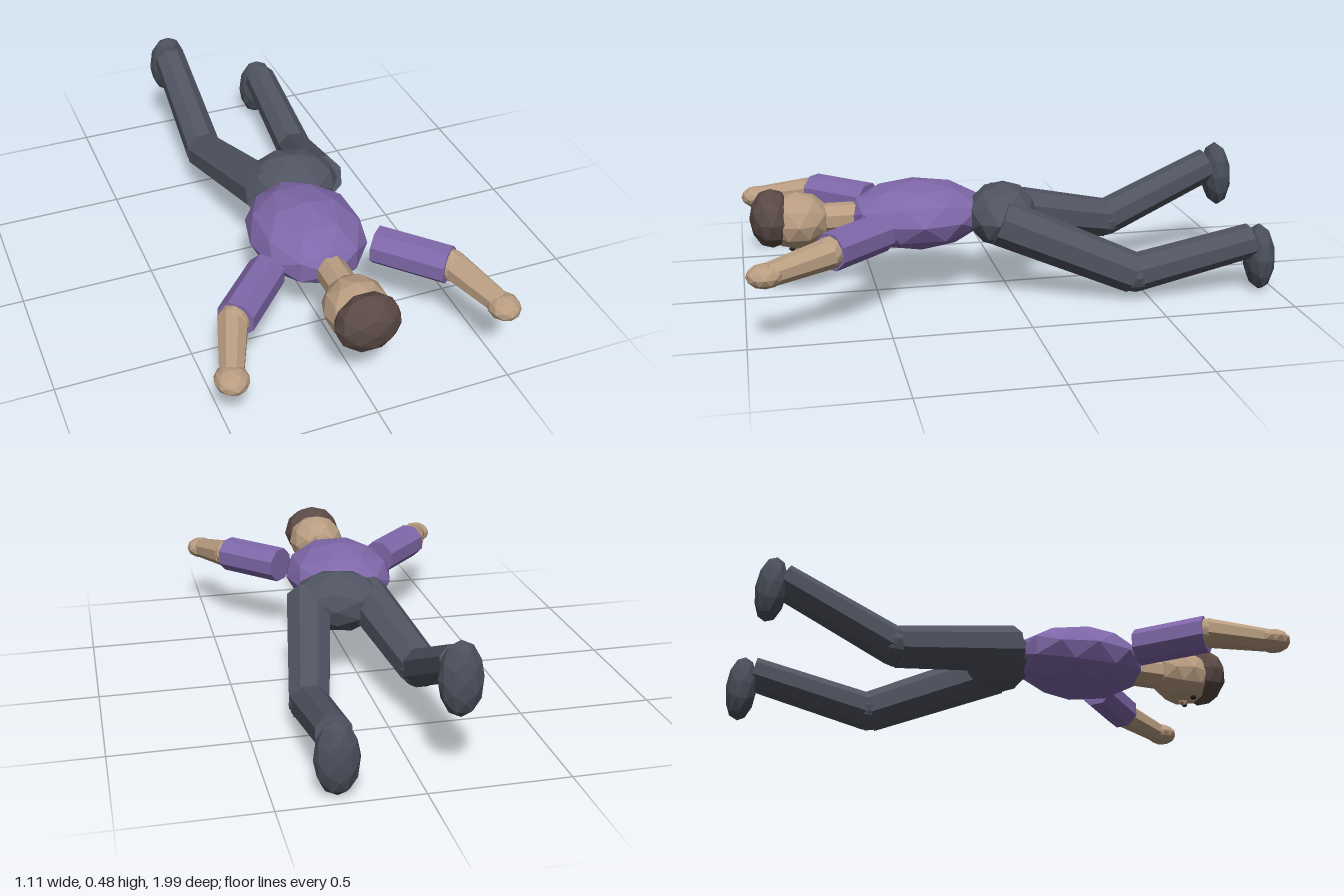
import * as THREE from 'three';

const mat = (name, color) => {
  const m = new THREE.MeshStandardMaterial({ color, flatShading: true });
  m.name = name;
  return m;
};

export function createModel() {
  const model = new THREE.Group();
  model.name = 'lyingFigure';

  const shirt = mat('purple shirt', 0x8068aa);
  const trousers = mat('slate trousers', 0x505461);
  const shoes = mat('dark slate shoes', 0x4a4f5b);
  const skin = mat('skin', 0xb99d81);
  const hair = mat('brown hair', 0x5a4a45);
  const eyes = mat('dark eyes', 0x2a2422);

  // Faceted ellipsoid
  const blob = (name, material, pos, radii, rot = [0, 0, 0], detail = 1) => {
    const mesh = new THREE.Mesh(new THREE.IcosahedronGeometry(1, detail), material);
    mesh.name = name;
    mesh.position.set(...pos);
    mesh.scale.set(...radii);
    mesh.rotation.set(...rot);
    model.add(mesh);
  };

  // Eight-sided tapered limb from a to b, with a flat side facing up
  const limb = (name, material, a, b, ra, rb) => {
    const start = new THREE.Vector3(...a), end = new THREE.Vector3(...b);
    const dir = end.clone().sub(start);
    const geometry = new THREE.CylinderGeometry(rb, ra, dir.length(), 8);
    geometry.rotateY(Math.PI / 8);
    const mesh = new THREE.Mesh(geometry, material);
    mesh.name = name;
    const y = dir.normalize();
    const x = new THREE.Vector3(0, 1, 0).cross(y).normalize();
    const z = x.clone().cross(y);
    mesh.quaternion.setFromRotationMatrix(new THREE.Matrix4().makeBasis(x, y, z));
    mesh.position.copy(start).add(end).multiplyScalar(0.5);
    model.add(mesh);
  };

  // Body, with the pelvis twisted towards one side
  blob('torso', shirt, [0, 0.305, 0.34], [0.215, 0.13, 0.27]);
  blob('pelvis', trousers, [0.07, 0.305, 0.025], [0.18, 0.12, 0.135], [0, -0.25, 0]);

  // Head, face down
  limb('neck', skin, [0, 0.305, 0.56], [0, 0.305, 0.72], 0.058, 0.058);
  blob('head', skin, [0, 0.305, 0.79], [0.117, 0.108, 0.125]);
  blob('hair', hair, [0, 0.318, 0.885], [0.121, 0.112, 0.081]);
  blob('nose', skin, [0, 0.2, 0.79], [0.016, 0.016, 0.022], [0, 0, 0], 0);

  // Arms and eyes, mirrored
  for (const [side, s] of [['left', 1], ['right', -1]]) {
    blob(side + 'Eye', eyes, [s * 0.04, 0.208, 0.815], [0.012, 0.01, 0.012]);
    limb(side + 'UpperArm', shirt, [s * 0.21, 0.303, 0.5], [s * 0.4, 0.303, 0.7], 0.071, 0.071);
    blob(side + 'Elbow', skin, [s * 0.405, 0.303, 0.7], [0.057, 0.06, 0.057]);
    limb(side + 'Forearm', skin, [s * 0.41, 0.303, 0.7], [s * 0.49, 0.267, 0.91], 0.056, 0.043);
    blob(side + 'Hand', skin, [s * 0.495, 0.265, 0.927], [0.059, 0.043, 0.065]);
  }

  // Legs, each bent differently
  const legs = [
    { side: 'left', hip: [0.18, 0.305, 0.05], knee: [0.277, 0.103, -0.44],
      ankle: [0.287, 0.205, -0.9], foot: [0.285, 0.137, -0.937], tilt: 0.04 },
    { side: 'right', hip: [-0.045, 0.305, 0.05], knee: [-0.13, 0.2, -0.44],
      ankle: [-0.132, 0.4, -0.87], foot: [-0.132, 0.358, -0.907], tilt: 0.08 },
  ];
  for (const { side, hip, knee, ankle, foot, tilt } of legs) {
    limb(side + 'Thigh', trousers, hip, knee, 0.09, 0.078);
    blob(side + 'Knee', trousers, knee, [0.076, 0.074, 0.074]);
    limb(side + 'Shin', trousers, knee, ankle, 0.073, 0.066);
    blob(side + 'Foot', shoes, foot, [0.079, 0.132, 0.058], [tilt, 0, 0]);
  }

  return model;
}
